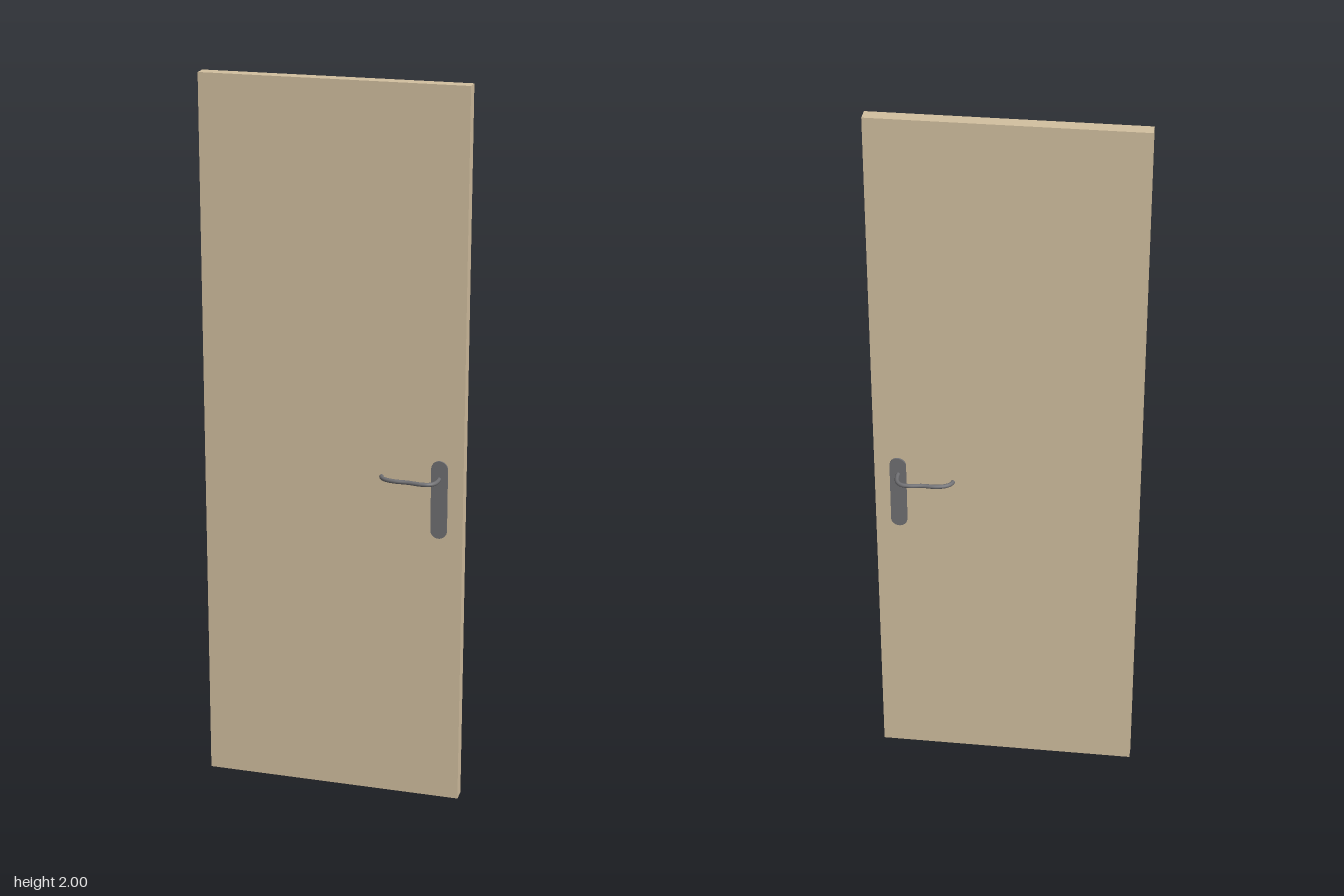
import * as THREE from 'three';

const WIDTH = 0.724, HEIGHT = 2, THICK = 0.038;
const PLATE_X = 0.297, PLATE_W = 0.045, PLATE_BOTTOM = 0.775, PLATE_TOP = 0.995, PLATE_T = 0.005;
const LEVER_Y = 0.945, LEVER_R = 0.0058;

function addMesh(parent, geometry, material, name) {
  const mesh = new THREE.Mesh(geometry, material);
  mesh.name = name;
  parent.add(mesh);
  return mesh;
}

// Long plate with half-round ends
function plateGeometry() {
  const r = PLATE_W / 2;
  const shape = new THREE.Shape();
  shape.absarc(0, PLATE_TOP - r, r, 0, Math.PI, false);
  shape.absarc(0, PLATE_BOTTOM + r, r, Math.PI, Math.PI * 2, false);
  shape.closePath();
  return new THREE.ExtrudeGeometry(shape, { depth: PLATE_T, bevelEnabled: false, curveSegments: 16 });
}

// Lever outline in plan: [along the door, distance from its middle]
const leverPlan = [
  [0.296, 0.019], [0.297, 0.038], [0.292, 0.062], [0.280, 0.0735], [0.260, 0.0765],
  [0.220, 0.0715], [0.187, 0.072], [0.160, 0.065], [0.147, 0.054], [0.1425, 0.042],
];

// Plate and lever for one face; side is 1 for the front and -1 for the back
function createHandle(side, metal) {
  const handle = new THREE.Group();
  handle.name = side > 0 ? 'frontHandle' : 'backHandle';

  const plate = addMesh(handle, plateGeometry(), metal, 'handlePlate');
  plate.position.set(PLATE_X, 0, side > 0 ? THICK / 2 : -THICK / 2 - PLATE_T);

  const path = new THREE.CatmullRomCurve3(
    leverPlan.map(([x, z]) => new THREE.Vector3(x, LEVER_Y, z * side)));
  addMesh(handle, new THREE.TubeGeometry(path, 64, LEVER_R, 12), metal, 'lever');

  // Flat end of the lever
  const tip = addMesh(handle, new THREE.CircleGeometry(LEVER_R, 12), metal, 'leverTip');
  tip.position.copy(path.getPoint(1));
  tip.quaternion.setFromUnitVectors(new THREE.Vector3(0, 0, 1), path.getTangent(1));
  return handle;
}

export function createModel() {
  const wood = new THREE.MeshStandardMaterial({ color: 0xd2bf9f });
  const metal = new THREE.MeshStandardMaterial({ color: 0x707073 });

  // The whole door stands partly open
  const door = new THREE.Group();
  door.name = 'door';
  door.rotation.y = THREE.MathUtils.degToRad(25);
  door.position.z = 0.0065;

  const leaf = addMesh(door, new THREE.BoxGeometry(WIDTH, HEIGHT, THICK), wood, 'doorLeaf');
  leaf.position.y = HEIGHT / 2;
  for (const side of [1, -1]) door.add(createHandle(side, metal));

  const model = new THREE.Group();
  model.name = 'openDoor';
  model.add(door);
  return model;
}
